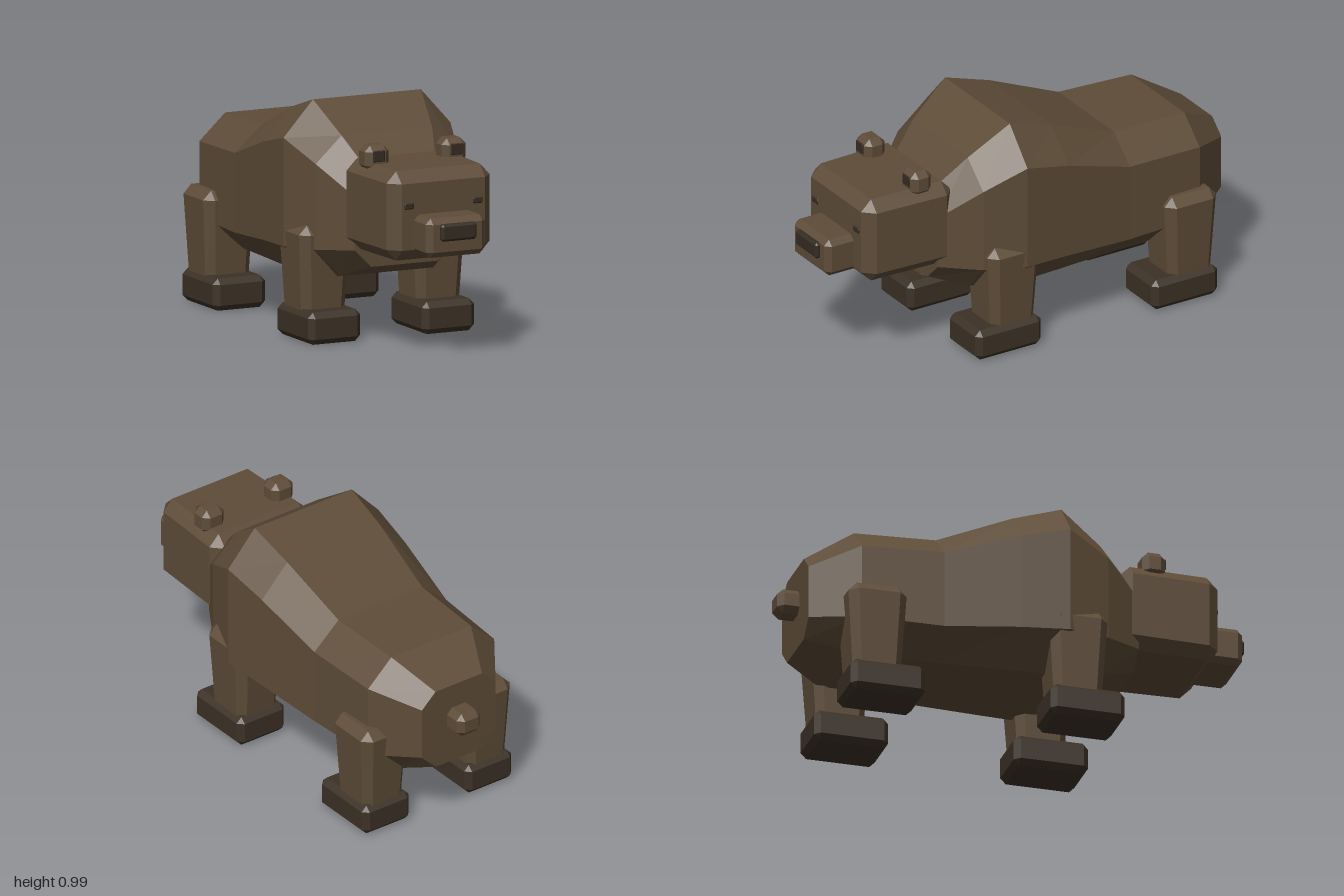
import * as THREE from 'three';
import { ConvexGeometry } from 'three/addons/geometries/ConvexGeometry.js';

const flat = (name, color) => {
  const m = new THREE.MeshStandardMaterial({ color, flatShading: true });
  m.name = name;
  return m;
};

// Box with chamfered edges; taper(point) may reshape the corners
function chamferBox([x0, x1], [y0, y1], [z0, z1], bevel, taper) {
  const centre = new THREE.Vector3((x0 + x1) / 2, (y0 + y1) / 2, (z0 + z1) / 2);
  const half = new THREE.Vector3((x1 - x0) / 2, (y1 - y0) / 2, (z1 - z0) / 2);
  const points = [];
  for (const sx of [-1, 1]) for (const sy of [-1, 1]) for (const sz of [-1, 1])
    for (const axis of ['x', 'y', 'z']) {
      const p = half.clone().subScalar(bevel);
      p[axis] += bevel;
      p.multiply(new THREE.Vector3(sx, sy, sz)).add(centre);
      if (taper) taper(p);
      points.push(p);
    }
  return new ConvexGeometry(points);
}

// Eight-sided rings lofted from chest to rump, capped at both ends
function bodyGeometry() {
  // z, top half width, top y, side half width, upper side y, lower side y, bottom half width, bottom y
  const sections = [
    [0.50, 0.15, 0.71, 0.23, 0.63, 0.405, 0.155, 0.33],
    [0.34, 0.21, 0.86, 0.33, 0.75, 0.39, 0.215, 0.27],
    [0.16, 0.25, 0.985, 0.387, 0.835, 0.38, 0.24, 0.235],
    [-0.05, 0.24, 0.92, 0.37, 0.785, 0.37, 0.23, 0.235],
    [-0.37, 0.215, 0.79, 0.34, 0.68, 0.345, 0.21, 0.235],
    [-0.72, 0.205, 0.78, 0.325, 0.67, 0.35, 0.205, 0.24],
    [-0.91, 0.12, 0.675, 0.19, 0.61, 0.38, 0.12, 0.31],
  ];
  const rings = sections.map(([z, t, ty, s, uy, ly, b, by]) => [
    [t, ty, z], [-t, ty, z], [-s, uy, z], [-s, ly, z],
    [-b, by, z], [b, by, z], [s, ly, z], [s, uy, z],
  ]);
  const pos = [];
  const tri = (...corners) => corners.forEach((p) => pos.push(...p));
  for (let i = 0; i < rings.length - 1; i++)
    for (let j = 0; j < 8; j++) {
      const k = (j + 1) % 8;
      const [a, b, c, d] = [rings[i][j], rings[i][k], rings[i + 1][k], rings[i + 1][j]];
      tri(a, d, c);
      tri(a, c, b);
    }
  const front = rings[0], back = rings[rings.length - 1];
  for (let j = 1; j < 7; j++) {
    tri(front[0], front[j], front[j + 1]);
    tri(back[0], back[j + 1], back[j]);
  }
  const g = new THREE.BufferGeometry();
  g.setAttribute('position', new THREE.Float32BufferAttribute(pos, 3));
  g.computeVertexNormals();
  return g;
}

export function createModel() {
  const model = new THREE.Group();
  model.name = 'bear';
  const fur = flat('brown fur', 0x5e4c38);
  const paw = flat('dark paw', 0x3c3126);
  const dark = flat('dark nose', 0x352b22);

  const add = (name, geometry, material, parent = model) => {
    const mesh = new THREE.Mesh(geometry, material);
    mesh.name = name;
    parent.add(mesh);
    return mesh;
  };

  add('body', bodyGeometry(), fur);
  add('tail', chamferBox([-0.06, 0.06], [0.46, 0.567], [-1, -0.87], 0.026), fur);

  // Head, slightly narrower towards the face
  const head = new THREE.Group();
  head.name = 'head';
  model.add(head);
  add('skull', chamferBox([-0.255, 0.255], [0.41, 0.785], [0.42, 0.85], 0.048,
    (p) => { p.x *= 1 - 0.07 * (p.z - 0.42) / 0.43; }), fur, head);
  add('snout', chamferBox([-0.137, 0.137], [0.44, 0.605], [0.8, 0.98], 0.024), fur, head);
  add('nose', chamferBox([-0.082, 0.082], [0.51, 0.582], [0.95, 1], 0.01), dark, head);

  for (const [side, sx] of [['left', 1], ['right', -1]]) {
    const span = (a, b) => (sx > 0 ? [a, b] : [-b, -a]);

    // Ears and eyes
    add(side + 'Ear', chamferBox(span(0.122, 0.234), [0.75, 0.86], [0.52, 0.62], 0.026), fur, head);
    add(side + 'InnerEar', chamferBox(span(0.153, 0.207), [0.793, 0.84], [0.615, 0.624], 0.003), dark, head);
    add(side + 'Eye', chamferBox(span(0.137, 0.181), [0.63, 0.656], [0.847, 0.856], 0.004), dark, head);

    // Legs: wider at the top, each on a longer paw that reaches forward
    for (const [end, zMid, zHalf, zPaw, top] of [
      ['Front', 0.205, 0.128, 0.24, 0.485],
      ['Back', -0.66, 0.128, -0.62, 0.488],
    ]) {
      const taper = (p) => {
        const k = 0.8 + 0.2 * (p.y - 0.09) / (top - 0.09);
        p.z = zMid + (p.z - zMid) * k;
        p.x = sx * 0.265 + (p.x - sx * 0.265) * (0.1 + 0.9 * k) * 1.02;
      };
      add(side + end + 'Leg', chamferBox(span(0.148, 0.384), [0.09, top], [zMid - zHalf, zMid + zHalf], 0.038, taper), fur);
      add(side + end + 'Paw', chamferBox(span(0.143, 0.385), [0, 0.135], [zPaw - 0.16, zPaw + 0.16], 0.024), paw);
    }
  }
  return model;
}
